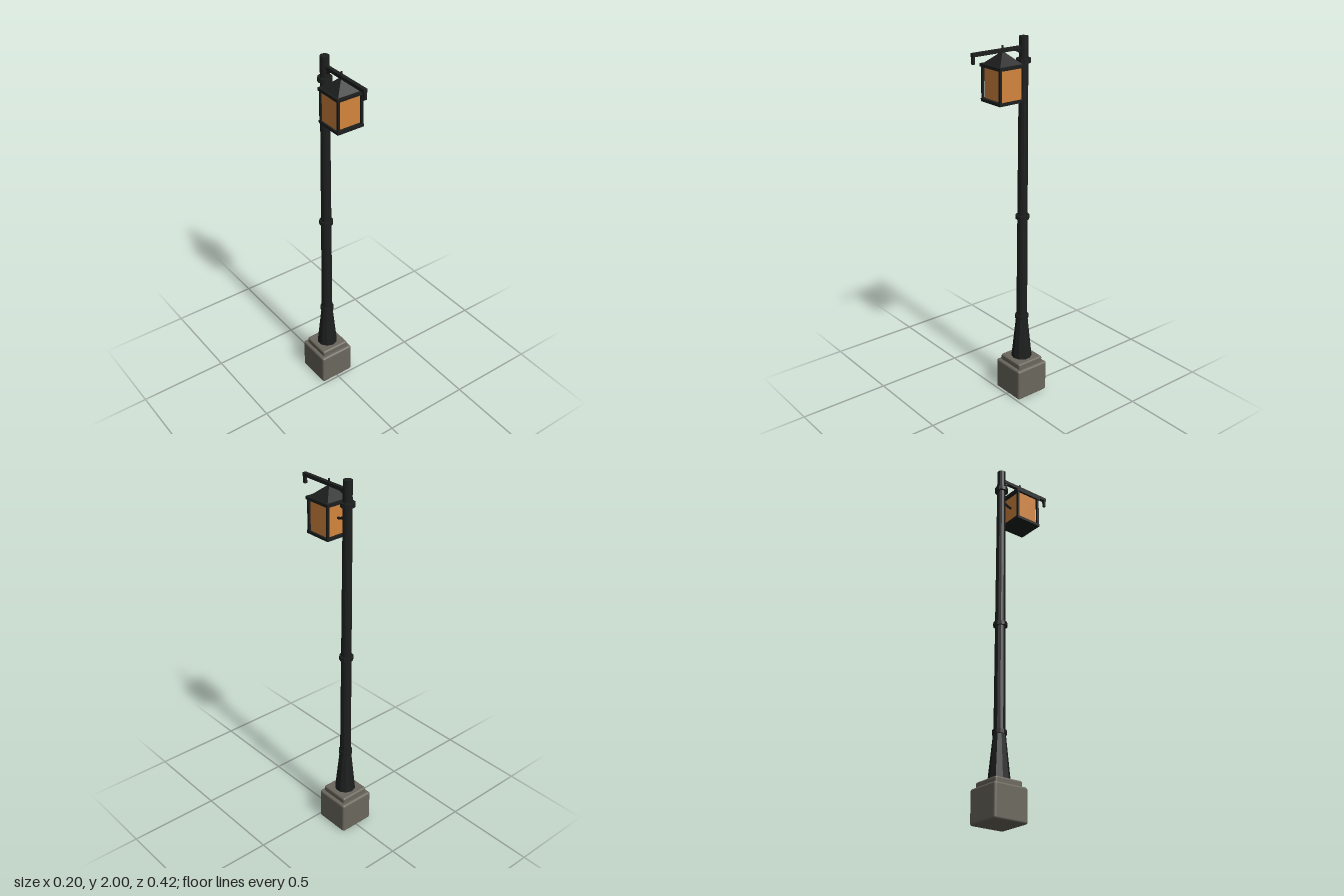
import * as THREE from 'three';
import { RoundedBoxGeometry } from 'three/addons/geometries/RoundedBoxGeometry.js';

const material = (name, color, flatShading = false) => {
  const m = new THREE.MeshStandardMaterial({ color, flatShading });
  m.name = name;
  return m;
};

export function createModel() {
  const iron = material('black iron', 0x1d1e1e, true);
  const stone = material('grey stone', 0x6b675d);
  const amber = material('amber glass', 0xd3853d);

  const model = new THREE.Group();
  model.name = 'streetLamp';

  const add = (parent, name, geometry, mat, x, y, z) => {
    const mesh = new THREE.Mesh(geometry, mat);
    mesh.name = name;
    mesh.position.set(x, y, z);
    parent.add(mesh);
    return mesh;
  };
  const box = (w, h, d) => new THREE.BoxGeometry(w, h, d);
  const poleZ = -0.11;

  // Stone plinth in two steps
  add(model, 'plinth', new RoundedBoxGeometry(0.2, 0.18, 0.2, 3, 0.012), stone, 0, 0.09, poleZ);
  add(model, 'plinthStep', new RoundedBoxGeometry(0.164, 0.04, 0.164, 3, 0.01), stone, 0, 0.192, poleZ);

  // Tapered foot, shaft and collars
  const tapered = (name, y0, y1, r0, r1, sides) =>
    add(model, name, new THREE.CylinderGeometry(r1, r0, y1 - y0, sides), iron, 0, (y0 + y1) / 2, poleZ);
  tapered('poleFoot', 0.208, 0.46, 0.057, 0.031, 10);
  tapered('poleShaft', 0.46, 2, 0.03, 0.0235, 12);
  for (const y of [0.46, 1.05, 1.88]) tapered('collar', y - 0.011, y + 0.011, 0.037, 0.037, 12);

  // Arm with its downturned tip
  add(model, 'arm', box(0.02, 0.018, 0.307), iron, 0, 1.945, 0.0535);
  add(model, 'armTip', box(0.014, 0.048, 0.014), iron, 0, 1.924, 0.2);

  // Curved brace behind the lantern, half of a ring opening forwards
  const brace = add(model, 'brace', new THREE.TorusGeometry(0.075, 0.007, 8, 20, Math.PI), iron, 0, 1.866, -0.038);
  brace.rotation.set(0, -Math.PI / 2, 0);
  brace.rotation.order = 'YXZ';
  brace.rotation.z = Math.PI / 2;
  brace.rotation.y = -Math.PI / 2;

  // Lantern
  const lantern = new THREE.Group();
  lantern.name = 'lantern';
  lantern.position.z = 0.022;
  model.add(lantern);
  add(lantern, 'floorPlate', box(0.154, 0.015, 0.154), iron, 0, 1.699, 0);
  add(lantern, 'glass', box(0.136, 0.162, 0.122), amber, 0, 1.786, -0.003);
  for (const x of [-1, 1]) {
    for (const z of [-1, 1]) {
      add(lantern, 'cornerPost', box(0.012, 0.166, 0.012), iron, x * 0.069, 1.786, z * 0.069);
    }
  }
  add(lantern, 'eave', box(0.16, 0.016, 0.16), iron, 0, 1.872, 0);
  const roof = add(lantern, 'roof', new THREE.ConeGeometry(0.0965, 0.062, 4), iron, 0, 1.911, 0);
  roof.rotation.y = Math.PI / 4;
  add(lantern, 'finial', new THREE.CylinderGeometry(0.005, 0.006, 0.05, 8), iron, 0, 1.945, 0);

  // The brace must bulge towards the pole
  brace.rotation.set(0, 0, 0);
  brace.geometry.rotateZ(Math.PI / 2).rotateY(-Math.PI / 2);

  return model;
}
